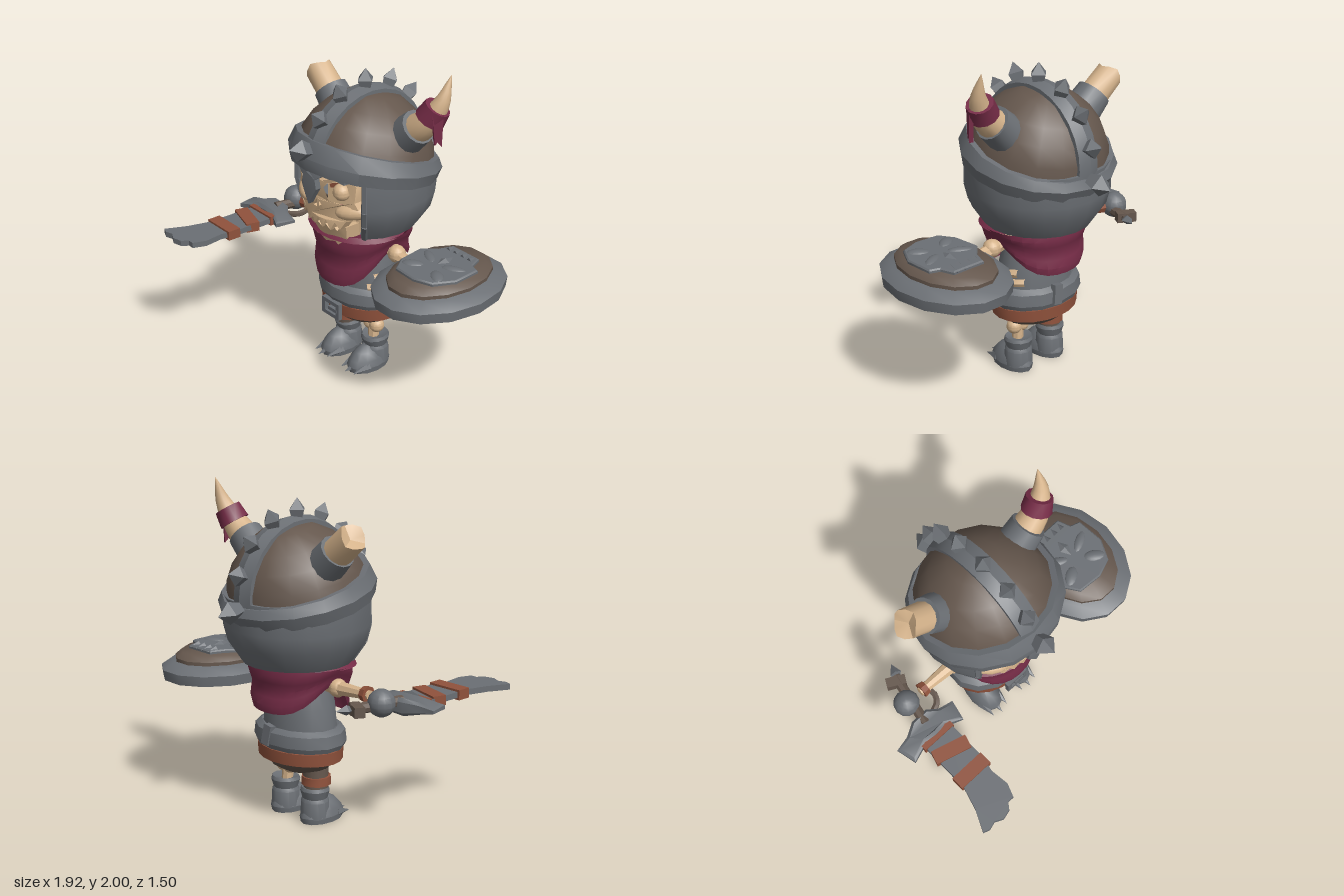
import * as THREE from 'three';
import { toCreasedNormals } from 'three/addons/utils/BufferGeometryUtils.js';

const V = (x, y, z) => new THREE.Vector3(x, y, z);
const mat = (name, color, side = THREE.FrontSide) => {
  const m = new THREE.MeshStandardMaterial({ color, side });
  m.name = name;
  return m;
};

export function createModel() {
  const steel = mat('steel', 0x6b6f74, THREE.DoubleSide);
  const brown = mat('dark hide', 0x65574d);
  const bone = mat('bone', 0xd6b48c);
  const cloth = mat('maroon cloth', 0x762c47, THREE.DoubleSide);
  const leather = mat('leather', 0x90523c);
  const root = new THREE.Group();
  const CX = -0.06, CZ = -0.16;

  const add = (parent, name, geo, material, pos = [0, 0, 0], rot = [0, 0, 0], scale = [1, 1, 1]) => {
    const m = new THREE.Mesh(toCreasedNormals(geo, 0.55), material);
    m.name = name;
    m.position.set(...pos);
    m.rotation.set(...rot);
    m.scale.set(...scale);
    parent.add(m);
    return m;
  };
  const group = (name, pos, parent = root) => {
    const g = new THREE.Group();
    g.name = name;
    g.position.set(...pos);
    parent.add(g);
    return g;
  };
  const lathe = (pts, n = 18, start = 0, len = Math.PI * 2) =>
    new THREE.LatheGeometry(pts.map(p => new THREE.Vector2(...p)), n, start, len);
  const box = (x, y, z) => new THREE.BoxGeometry(x, y, z);
  const ball = r => new THREE.SphereGeometry(r, 12, 9);
  const shapeOf = pts => new THREE.Shape(pts.map(p => new THREE.Vector2(...p)));
  const plate = (shape, depth, bevel = 0) => new THREE.ExtrudeGeometry(shape, {
    depth, bevelEnabled: bevel > 0, bevelSize: bevel, bevelThickness: bevel, bevelSegments: 1 });
  const flatPlate = (pts, depth, bevel) => plate(shapeOf(pts), depth, bevel).rotateX(Math.PI / 2).translate(0, depth / 2, 0);
  const mirror = half => [...half, ...half.slice().reverse().filter(p => p[0] !== 0).map(([x, y]) => [-x, y])];
  const warp = (geo, f) => {
    const p = geo.attributes.position, v = V(0, 0, 0);
    for (let i = 0; i < p.count; i++) {
      v.fromBufferAttribute(p, i);
      f(v, i);
      p.setXYZ(i, v.x, v.y, v.z);
    }
    return geo;
  };
  const limb = (parent, name, a, b, r0, r1, material, n = 8, rule = () => {}) => {
    const d = b.clone().sub(a), geo = warp(new THREE.CylinderGeometry(r1, r0, d.length(), n), rule);
    const m = add(parent, name, geo, material, a.clone().add(b).multiplyScalar(0.5).toArray());
    m.quaternion.setFromUnitVectors(V(0, 1, 0), d.normalize());
  };

  // Helmet: tilted dome, brow band (taller in front), crest and spikes
  const helmet = group('helmet', [CX, 1.39, -0.18]);
  helmet.rotation.x = -0.21;
  add(helmet, 'helmetDome', lathe([[0.415, 0], [0.395, 0.11], [0.345, 0.21], [0.27, 0.295], [0.15, 0.375], [0, 0.405]], 16), brown);
  add(helmet, 'browBand', warp(lathe([[0.4, -0.075], [0.445, -0.075], [0.465, 0], [0.435, 0.075], [0.39, 0.075], [0.4, -0.075]], 16),
    v => { v.y += v.y > 0.05 ? 0.07 * v.z : 0; }), steel);
  add(helmet, 'crest', lathe([[0.37, -0.07], [0.415, -0.07], [0.435, 0], [0.415, 0.07], [0.37, 0.07]], 14, 0, Math.PI)
    .rotateZ(Math.PI / 2), steel);
  for (let i = 0; i < 8; i++) {
    const a = (5 + i * 24.3) * Math.PI / 180, end = i % 7 === 0, r = end ? 0.51 : 0.465, k = end ? 1.15 : 1;
    add(helmet, 'crestSpike', lathe([[0.036, -0.07], [0.058, 0], [0, 0.067]], 4), steel,
      [0, r * Math.sin(a), r * Math.cos(a)], [Math.PI / 2 - a, 0, 0], [k, k, k]);
  }
  // Neck and cheek guard, open at the face
  const guard = [[0.325, 0.98], [0.405, 1.1], [0.43, 1.2], [0.425, 1.37]];
  const inner = guard.map(([r, y]) => [r - 0.04, y]).reverse();
  const open = 0.87;
  add(root, 'cheekGuard', lathe([...guard, ...inner, guard[0]], 14, open, Math.PI * 2 - 2 * open), steel, [CX, 0, -0.18]);
  for (const s of [-1, 1]) for (let i = 0; i < 3; i++) {
    const at = ([r, y]) => V(CX + s * (r - 0.02) * Math.sin(open), y, -0.18 + (r - 0.02) * Math.cos(open));
    limb(root, 'cheekRim', at(guard[i]), at(guard[i + 1]), 0.024, 0.024, steel, 6);
  }
  const noseHalf = [[0, 1.19], [0.035, 1.25], [0.065, 1.3], [0.055, 1.36], [0.13, 1.41], [0.24, 1.37], [0.24, 1.47], [0, 1.5]];
  add(root, 'noseGuard', warp(plate(shapeOf(mirror(noseHalf)), 0.035), v => { v.z += 0.215 - 1.2 * v.x * v.x; }), steel, [CX, 0, 0]);

  // Horns: a broken one and a whole one with a cloth wrap
  limb(root, 'hornCuff', V(-0.31, 1.54, -0.23), V(-0.45, 1.67, -0.235), 0.12, 0.105, steel, 14);
  limb(root, 'brokenHorn', V(-0.4, 1.62, -0.235), V(-0.575, 1.765, -0.24), 0.09, 0.085, bone, 12, v => {
    if (v.y > 0) v.y += Math.hypot(v.x, v.z) < 0.01 ? -0.03 : 0.016 * Math.sin(3 * Math.atan2(v.x, v.z));
  });
  limb(root, 'hornCuff', V(0.19, 1.54, -0.23), V(0.335, 1.67, -0.235), 0.12, 0.105, steel, 14);
  const path = new THREE.CatmullRomCurve3([V(0.28, 1.62, -0.235), V(0.4, 1.72, -0.245), V(0.47, 1.84, -0.28), V(0.49, 2, -0.33)]);
  const N = 10, RS = 14;
  add(root, 'wholeHorn', warp(new THREE.TubeGeometry(path, N, 1, RS), (v, i) => {
    const t = Math.floor(i / (RS + 1)) / N, c = path.getPointAt(t);
    v.sub(c).multiplyScalar(0.09 * (1 - Math.pow(t, 1.7)) + 0.001).add(c);
  }), bone);
  limb(root, 'hornWrap', V(0.41, 1.735, -0.25), V(0.452, 1.815, -0.27), 0.091, 0.079, cloth, 12);
  add(root, 'hornWrapTail', plate(shapeOf([[-0.035, 0.1], [0.03, 0.1], [0.025, -0.09], [0, -0.06], [-0.015, -0.08]]), 0.025),
    cloth, [0.48, 1.69, -0.24], [0, 1.1, 0]);

  // Skull: cranium, carved face, eyes, teeth and jaw
  const skull = group('skull', [CX, 0, 0]);
  add(skull, 'cranium', ball(1), bone, [0, 1.33, -0.18], [0, 0, 0], [0.29, 0.29, 0.24]);
  const face = shapeOf(mirror([[0, 1.45], [0.22, 1.45], [0.26, 1.34], [0.25, 1.24], [0.27, 1.2], [0.25, 1.13], [0.2, 1.11],
    [0.165, 1.05], [0.13, 1.09], [0.1, 1.03], [0.065, 1.09], [0.035, 1.03], [0, 1.085]]));
  for (const s of [-1, 1]) {
    const hole = pts => face.holes.push(new THREE.Path(pts.map(([x, y]) => new THREE.Vector2(s * x, y))));
    hole([[0.05, 1.29], [0.08, 1.325], [0.2, 1.365], [0.225, 1.28], [0.18, 1.215], [0.09, 1.215]]);
    hole([[0.01, 1.2], [0.045, 1.15], [0.012, 1.145]]);
    add(skull, 'eyeSocket', box(0.22, 0.2, 0.008), bone, [s * 0.14, 1.285, 0.09], [0, s * 0.38, 0]);
    add(skull, 'eyeLid', box(0.19, 0.06, 0.009), leather, [s * 0.14, 1.335, 0.1], [0, s * 0.38, s * 0.24]);
    add(skull, 'eyeball', ball(0.053), bone, [s * 0.14, 1.275, 0.115]);
    limb(skull, 'browRidge', V(s * 0.05, 1.335, 0.165), V(s * 0.23, 1.39, 0.1), 0.022, 0.022, bone, 6);
    add(skull, 'cheekBone', ball(1), bone, [s * 0.21, 1.165, 0.09], [0, s * 0.6, s * 0.15], [0.11, 0.05, 0.055]);
  }
  add(skull, 'faceBone', warp(plate(face, 0.06), v => { v.z += 0.12 - 1.1 * v.x * v.x; }), bone);
  add(skull, 'noseHollow', box(0.1, 0.08, 0.009), brown, [0, 1.17, 0.115]);
  add(skull, 'mouthFill', box(0.3, 0.13, 0.06), bone, [0, 1.05, 0.045]);
  const jaw = shapeOf(mirror([[0, 0.91], [0.1, 0.915], [0.165, 0.97], [0.18, 1.06], [0.15, 1.06], [0.12, 1.02],
    [0.1, 1.05], [0.07, 1.015], [0.045, 1.05], [0, 1.015]]));
  add(skull, 'jaw', warp(plate(jaw, 0.1), v => { v.z += 0.05 - 1.6 * v.x * v.x + (v.y - 1) * 0.3; }), bone);
  limb(skull, 'neck', V(0, 0.85, CZ), V(0, 1.15, CZ), 0.08, 0.08, bone);

  // Scarf hanging low at front and back, with soft folds
  add(root, 'scarf', warp(new THREE.CylinderGeometry(1, 1, 1, 28, 6, true), v => {
    const t = 0.5 - v.y, c = v.z, s = v.x, k = Math.abs(c);
    const drop = 0.1 + (c > 0 ? 0.22 : 0.17) * k * k * (3 - 2 * k);
    const r = 0.335 - 0.05 * t + 0.014 * k * Math.sin(t * 9);
    v.set(s * r, 0.975 - 0.03 * Math.max(c, 0) - t * drop, c * r * (0.82 + 0.14 * t));
  }), cloth, [CX, 0, CZ]);
  add(root, 'scarfCollar', lathe([[0.335, 0.965], [0.3, 0.99], [0.17, 0.95]], 28), cloth, [CX, 0, CZ], [0.04, 0, 0], [1, 1, 0.82]);

  // Torso armour, ribs, belt and hips
  const body = group('body', [CX, 0, CZ]);
  body.scale.z = 0.78;
  add(body, 'chestArmour', lathe([[0.2, 0.56], [0.25, 0.57], [0.235, 0.72], [0.19, 0.88], [0, 0.93]]), steel);
  add(body, 'bellyPlate', lathe([[0.24, 0.46], [0.295, 0.47], [0.31, 0.5], [0.3, 0.57], [0.26, 0.595], [0.2, 0.58]], 14), steel);
  add(body, 'hips', lathe([[0, 0.295], [0.12, 0.3], [0.2, 0.335], [0.265, 0.4], [0.26, 0.47]]), brown);
  add(body, 'belt', lathe([[0.25, 0.39], [0.285, 0.39], [0.29, 0.465], [0.25, 0.47]], 20), leather);
  for (const [y, arc] of [[0.62, 1.4], [0.68, 1]]) add(body, 'rib',
    new THREE.TorusGeometry(0.236, 0.026, 6, 8, arc).rotateZ(-arc / 2).rotateX(Math.PI / 2), bone, [0.005, y, 0], [0.1, 0, 0]);
  const frame = shapeOf([[-0.08, -0.055], [0.08, -0.055], [0.08, 0.055], [-0.08, 0.055]]);
  frame.holes.push(new THREE.Path([[-0.05, -0.03], [-0.05, 0.03], [0.05, 0.03], [0.05, -0.03]].map(p => new THREE.Vector2(...p))));
  add(root, 'buckle', plate(frame, 0.03), steel, [CX, 0.425, 0.065]);
  add(root, 'bucklePin', box(0.08, 0.022, 0.025), steel, [CX + 0.02, 0.425, 0.085]);
  add(root, 'backStrap', box(0.06, 0.12, 0.04), steel, [CX + 0.03, 0.55, -0.385], [0.1, 0, 0.15]);

  // Legs and clawed boots
  limb(root, 'trouserLeg', V(-0.19, 0.2, -0.15), V(-0.18, 0.36, -0.15), 0.075, 0.08, brown, 12);
  limb(root, 'legBand', V(-0.19, 0.235, -0.15), V(-0.19, 0.285, -0.15), 0.09, 0.088, leather, 12);
  limb(root, 'shinBone', V(0.07, 0.1, -0.15), V(0.06, 0.36, -0.15), 0.035, 0.035, bone);
  for (const x of [0.04, 0.095]) add(root, 'kneeBone', ball(0.048), bone, [x, 0.285, -0.15]);
  for (const x of [-0.19, 0.07]) {
    const boot = group('boot', [x, 0, 0]);
    add(boot, 'bootFoot', lathe([[0, 0], [0.95, 0], [1, 0.035], [0.9, 0.075], [0.62, 0.12], [0.3, 0.15], [0, 0.155]], 12), steel,
      [0, 0, -0.105], [0, 0, 0], [0.098, 1, 0.155]);
    add(boot, 'bootShaft', warp(lathe([[0.09, 0.03], [0.085, 0.13], [0.075, 0.15], [0.09, 0.2], [0.082, 0.22], [0, 0.19]], 12),
      v => { if (v.y > 0.195) v.y += 0.12 * (v.z > 0 ? -v.z : 0); }), steel, [0, 0, -0.16]);
    for (const k of [-1, 0, 1]) add(boot, 'claw', new THREE.ConeGeometry(0.036, 0.12, 5), steel,
      [k * 0.06, 0.032, 0.03 - Math.abs(k) * 0.02], [Math.PI / 2 + 0.15, k * 0.15, 0]);
  }

  // Arms
  limb(root, 'rightArm', V(-0.24, 0.87, CZ), V(-0.38, 0.85, -0.15), 0.04, 0.04, bone);
  add(root, 'rightElbow', ball(0.055), bone, [-0.37, 0.86, -0.15]);
  limb(root, 'rightForearm', V(-0.36, 0.86, -0.15), V(-0.63, 0.875, -0.155), 0.045, 0.028, bone);
  limb(root, 'wristCuff', V(-0.58, 0.875, -0.155), V(-0.62, 0.875, -0.155), 0.042, 0.05, leather);
  add(root, 'glove', ball(0.08), steel, [-0.73, 0.855, -0.165]);
  limb(root, 'leftArm', V(0.14, 0.9, CZ), V(0.28, 0.85, -0.15), 0.045, 0.045, bone);
  add(root, 'leftElbow', ball(0.055), bone, [0.27, 0.86, -0.15]);
  limb(root, 'leftForearm', V(0.27, 0.85, -0.15), V(0.42, 0.835, -0.15), 0.045, 0.03, bone);

  // Sword pointing forward
  const sword = group('sword', [-0.73, 0.815, 0]);
  add(sword, 'blade', flatPlate([[-0.1, 0.05], [-0.1, 0.44], [-0.14, 0.58], [-0.2, 0.71], [-0.16, 0.725], [-0.11, 0.71], [-0.06, 0.735],
    [0.0, 0.72], [0.03, 0.68], [0.07, 0.68], [0.1, 0.6], [0.085, 0.48], [0.105, 0.4], [0.105, 0.05]], 0.035), steel);
  add(sword, 'crossGuard', warp(flatPlate([[-0.21, 0.02], [-0.13, 0.005], [-0.05, -0.04], [0.05, -0.04], [0.11, 0.005], [0.19, 0.02],
    [0.17, 0.11], [0.08, 0.07], [0, 0.08], [-0.08, 0.07], [-0.19, 0.11]], 0.06, 0.018), v => { v.y *= 1.25 - 4.4 * Math.abs(v.x + 0.01); }), steel);
  for (const [z, h, tilt] of [[0.095, 0.06, 0], [0.225, 0.085, -0.28], [0.4, 0.085, 0]])
    add(sword, 'bladeWrap', box(0.226, 0.06, h), leather, [0, 0, z], [0, tilt, 0]);
  limb(sword, 'grip', V(0, 0.02, 0), V(0.065, 0.02, -0.34), 0.032, 0.032, brown);
  add(sword, 'pommelBlock', box(0.12, 0.06, 0.06), brown, [0.045, 0.02, -0.31], [0, -0.5, 0]);
  add(sword, 'pommelSpike', new THREE.OctahedronGeometry(1), steel, [0.08, 0.02, -0.355], [0, -0.3, 0], [0.035, 0.03, 0.065]);
  const bow = new THREE.QuadraticBezierCurve3(V(0.03, 0, -0.02), V(0.18, 0, -0.03), V(0.16, 0.02, -0.13));
  add(sword, 'knuckleBow', new THREE.TubeGeometry(bow, 6, 0.02, 6), brown);

  // Shield lying flat, with a carved face
  const shield = group('shield', [0.625, 0, -0.163]);
  add(shield, 'shieldRim', lathe([[0, 0.8], [0.7, 0.79], [1, 0.762], [1.02, 0.825], [0.85, 0.868], [0, 0.88]], 14, 0.22), steel,
    [0, 0, 0], [0, 0, 0], [0.33, 1, 0.43]);
  add(shield, 'shieldBoard', lathe([[1, 0.84], [1, 0.89], [0.87, 0.922], [0, 0.922]], 14, 0.22), brown, [0, 0, 0], [0, 0, 0], [0.25, 1, 0.35]);
  add(shield, 'shieldGrip', lathe([[0, 0.69], [0.1, 0.69], [0.15, 0.735], [0.15, 0.82]], 8), leather, [0, 0, 0], [0, 0, 0], [1, 1, 0.6]);
  const carving = group('shieldCarving', [0, 0.925, 0], shield);
  add(carving, 'carvedHead', flatPlate([[-0.1, -0.2], [0.1, -0.2], [0.13, -0.12], [0.19, -0.1], [0.2, 0.07], [0.14, 0.19],
    [0.03, 0.23], [-0.12, 0.22], [-0.18, 0.13], [-0.2, -0.03], [-0.13, -0.11]], 0.02, 0.008), steel);
  for (const s of [-1, 1]) {
    add(carving, 'carvedBrow', ball(1), steel, [s * 0.1, 0.01, -0.01], [0, s * 0.5, 0], [0.08, 0.02, 0.032]);
    add(carving, 'carvedCheek', ball(1), steel, [s * 0.1, 0.01, 0.12], [0, -s * 0.6, 0], [0.07, 0.022, 0.04]);
    for (const x of [0.03, 0.085]) add(carving, 'carvedTooth', new THREE.ConeGeometry(0.025, 0.07, 4), steel,
      [s * x, 0.01, -0.18], [-Math.PI / 2, 0, 0]);
  }
  add(carving, 'carvedNose', new THREE.OctahedronGeometry(1), steel, [0, 0.01, -0.04], [0, 0, 0], [0.05, 0.025, 0.09]);
  return root;
}
